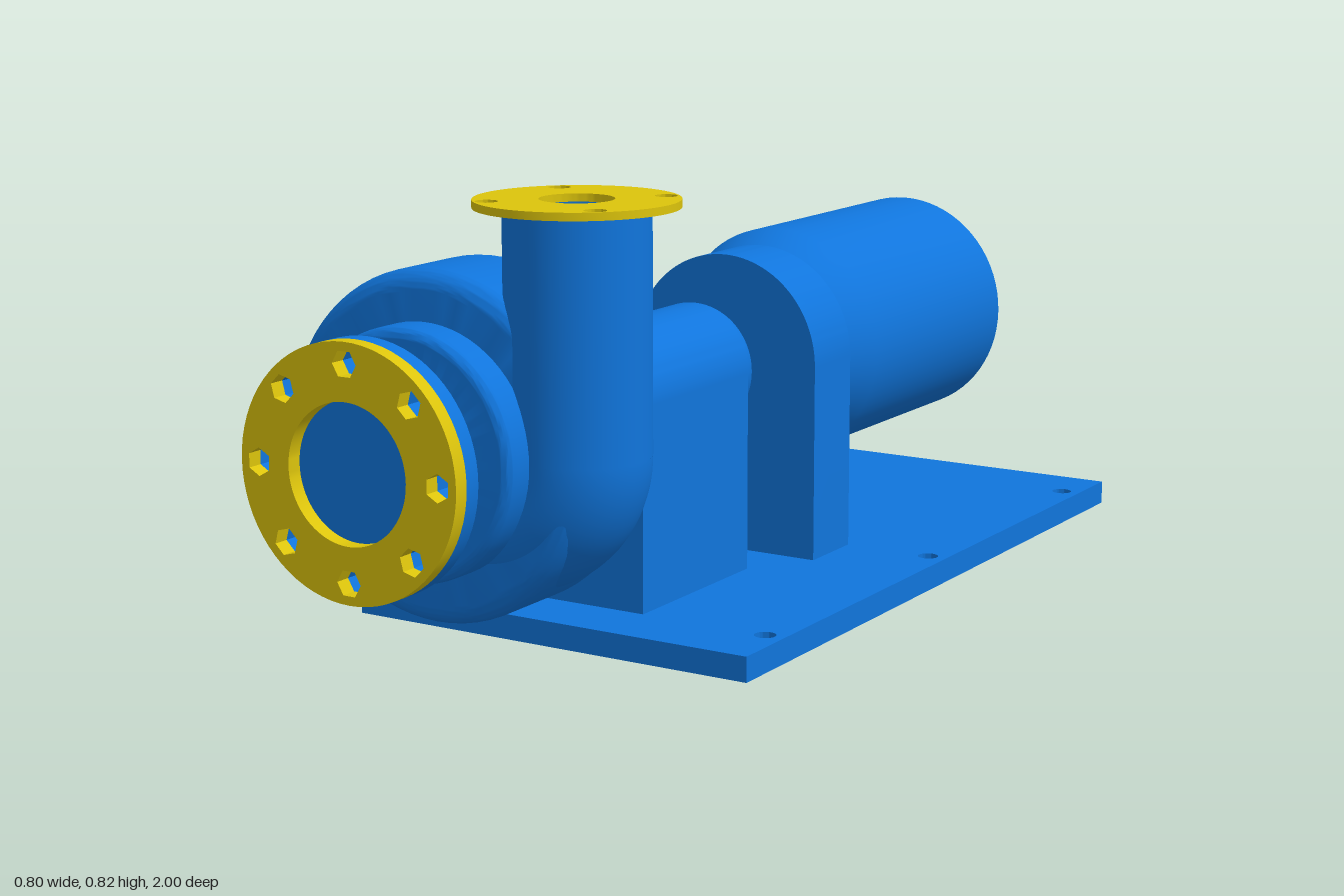
import * as THREE from 'three';
import { toCreasedNormals } from 'three/addons/utils/BufferGeometryUtils.js';

const AXIS = 0.41; // height of the shaft line
const blue = new THREE.MeshStandardMaterial({ color: 0x1075dc });
const blueOpen = new THREE.MeshStandardMaterial({ color: 0x1075dc, side: THREE.DoubleSide });
const yellow = new THREE.MeshStandardMaterial({ color: 0xdcc40c });
const grey = new THREE.MeshStandardMaterial({ color: 0xcccccc });

export function createModel() {
  const model = new THREE.Group();

  const add = (name, geometry, material, x = 0, y = 0, z = 0) => {
    const mesh = new THREE.Mesh(geometry, material);
    mesh.name = name;
    mesh.position.set(x, y, z);
    model.add(mesh);
    return mesh;
  };

  // Solid of revolution about the shaft line; path runs (radius, z) from back to front
  const turned = (name, path, material = blue) => {
    const g = new THREE.LatheGeometry(path.getPoints(8), 72).rotateX(Math.PI / 2);
    return add(name, toCreasedNormals(g, 0.45), material, 0, AXIS, 0);
  };

  // Drum with rounded rims
  const drum = (r, z0, z1, c) => new THREE.Path()
    .moveTo(0, z0).lineTo(r - c, z0)
    .absarc(r - c, z0 + c, c, -Math.PI / 2, 0, false)
    .lineTo(r, z1 - c)
    .absarc(r - c, z1 - c, c, 0, Math.PI / 2, false)
    .lineTo(0, z1);

  const extrude = (shape, depth) => toCreasedNormals(
    new THREE.ExtrudeGeometry(shape, { depth, bevelEnabled: false, curveSegments: 36 }), 0.45);

  const circle = (x, y, r) => new THREE.Path().absarc(x, y, r, 0, Math.PI * 2, true);

  const disc = (r, holes) => {
    const s = new THREE.Shape().absarc(0, 0, r, 0, Math.PI * 2, false);
    s.holes.push(...holes);
    return s;
  };

  // Base plate with six fixing holes
  const plate = new THREE.Shape([[-0.4, -0.465], [0.4, -0.465], [0.4, 1], [-0.4, 1]]
    .map(([x, y]) => new THREE.Vector2(x, y)));
  for (const x of [-0.363, 0.363]) {
    for (const z of [-0.878, -0.27, 0.34]) plate.holes.push(circle(x, -z, 0.019));
  }
  add('basePlate', extrude(plate, 0.045).rotateX(-Math.PI / 2), blue);

  // Motor body with tapered ends
  turned('motor', new THREE.Path().moveTo(0, -0.962).lineTo(0.157, -0.962)
    .lineTo(0.219, -0.862).lineTo(0.219, -0.33).lineTo(0.195, -0.267).lineTo(0, -0.267));

  // Arched motor bracket
  const arch = new THREE.Shape().moveTo(-0.195, 0.045).lineTo(0.195, 0.045).lineTo(0.195, AXIS)
    .absarc(0, AXIS, 0.195, 0, Math.PI, false).lineTo(-0.195, 0.045);
  add('motorBracket', extrude(arch, 0.137), blue, 0, 0, -0.267);

  // Shaft
  const shaft = new THREE.CylinderGeometry(0.045, 0.045, 0.62, 40).rotateX(Math.PI / 2);
  add('shaft', shaft, grey, 0, AXIS, 0.17);

  // Bearing housing on its pedestal
  turned('bearingHousing', drum(0.12, -0.058, 0.385, 0.04));
  add('bearingPedestal', new THREE.BoxGeometry(0.24, AXIS - 0.045, 0.357), blue,
    0, (AXIS + 0.045) / 2, 0.1635);

  // Pump casing
  turned('volute', drum(0.291, 0.583, 0.797, 0.035));

  // Flared seal housing behind the casing
  turned('sealHousing', new THREE.Path().moveTo(0, 0.465).lineTo(0.122, 0.465)
    .absarc(0.122, 0.479, 0.014, -Math.PI / 2, 0, false).lineTo(0.136, 0.512)
    .quadraticCurveTo(0.142, 0.558, 0.19, 0.59));

  // Front cover and waisted suction neck
  turned('suctionNeck', new THREE.Path().moveTo(0.208, 0.785).lineTo(0.208, 0.84)
    .absarc(0.19, 0.842, 0.018, 0, Math.PI / 2, false).lineTo(0.115, 0.86)
    .absarc(0.115, 0.887, 0.027, -Math.PI / 2, -Math.PI, true).lineTo(0.088, 0.918)
    .absarc(0.115, 0.918, 0.027, Math.PI, Math.PI / 2, true));

  // Suction flange and gasket ring, with eight hexagonal bolt holes
  const hexHoles = Array.from({ length: 8 }, (_, i) => {
    const a = i * Math.PI / 4;
    const pts = Array.from({ length: 6 }, (_, k) => {
      const b = a + Math.PI / 2 - k * Math.PI / 3;
      return new THREE.Vector2(0.173 * Math.cos(a) + 0.023 * Math.cos(b),
        0.173 * Math.sin(a) + 0.023 * Math.sin(b));
    });
    return new THREE.Path(pts).closePath();
  });
  add('suctionFlange', extrude(disc(0.208, hexHoles), 0.03), blue, 0, AXIS, 0.943);
  add('suctionGasket', extrude(disc(0.208, [...hexHoles, circle(0, 0, 0.114)]), 0.027),
    yellow, 0, AXIS, 0.973);

  // Discharge pipe and the elbow leading into the casing
  const px = 0.2225, pz = 0.691, pr = 0.118;
  add('dischargePipe', new THREE.CylinderGeometry(pr, pr, 0.805 - AXIS, 56, 1, true), blueOpen,
    px, (0.805 + AXIS) / 2, pz);
  const elbow = new THREE.TorusGeometry(0.12, pr, 48, 24, Math.PI / 2).rotateZ(-Math.PI / 2);
  add('dischargeElbow', elbow, blueOpen, px - 0.12, AXIS, pz);

  // Discharge flange with four bolt holes
  const boltHoles = [0, 1, 2, 3].map((i) => {
    const a = Math.PI / 4 + i * Math.PI / 2;
    return circle(0.143 * Math.cos(a), 0.143 * Math.sin(a), 0.018);
  });
  add('dischargeFlange', extrude(disc(0.1645, [...boltHoles, circle(0, 0, 0.06)]), 0.013)
    .rotateX(-Math.PI / 2), yellow, px, 0.805, pz);

  return model;
}
